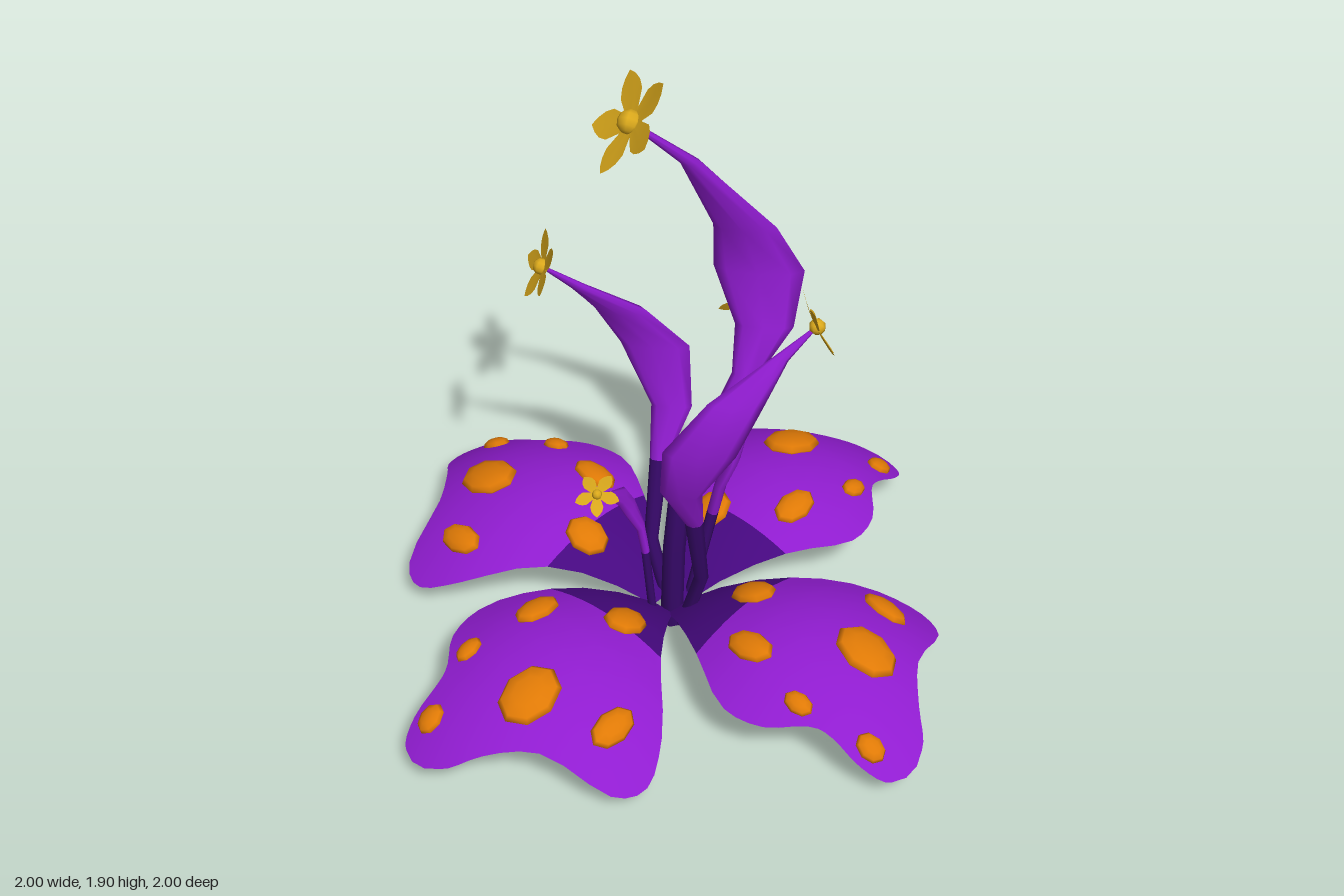
import * as THREE from 'three';

const mat = (name, color, side = THREE.FrontSide) => {
  const m = new THREE.MeshStandardMaterial({ color, side });
  m.name = name;
  return m;
};

const add = (parent, name, geo, material) => {
  const m = new THREE.Mesh(geo, material);
  m.name = name;
  parent.add(m);
  return m;
};

// Smooth surface through rows of points; closed joins the last column to the first
function loft(rows, closed) {
  const n = rows[0].length, idx = [];
  for (let i = 0; i < rows.length - 1; i++) {
    for (let j = 0; j < (closed ? n : n - 1); j++) {
      const a = i * n + j, b = i * n + (j + 1) % n;
      idx.push(a, b, a + n, b, b + n, a + n);
    }
  }
  const g = new THREE.BufferGeometry().setFromPoints(rows.flat());
  g.setIndex(idx);
  g.computeVertexNormals();
  return g;
}

// Domed petal surface: rises to z = 0.5, droops at the tip and the sides
const bend = z => (z < 0.5 ? 0.95 : 0.78);
const height = (x, z) => 0.275 - bend(z) * (z - 0.5) ** 2 - 0.86 * x * x;

// Petal cross rows from a smooth outline of z, left edge, right edge
function petalRows() {
  const outline = new THREE.CatmullRomCurve3([
    [0.03, -0.04, 0.04], [0.3, -0.22, 0.23], [0.5, -0.33, 0.41], [0.63, -0.31, 0.47], [0.73, -0.23, 0.42],
    [0.8, -0.205, 0.21], [0.9, -0.2, 0.08], [0.97, -0.17, 0.01], [1, -0.11, -0.06],
  ].map(p => new THREE.Vector3(...p)));
  return outline.getPoints(24).map(o => Array.from({ length: 11 }, (_, j) => {
    const x = THREE.MathUtils.lerp(o.z, o.y, j / 10);
    return new THREE.Vector3(x, height(x, o.x), o.x);
  }));
}

// Petal spots: x, z, half width, half length
const SPOTS = [
  [0.07, 0.28, 0.063, 0.075], [-0.14, 0.44, 0.051, 0.08], [0.08, 0.7, 0.083, 0.105],
  [0.31, 0.6, 0.049, 0.08], [-0.2, 0.67, 0.034, 0.048], [-0.14, 0.89, 0.04, 0.05],
];

// Elliptical rings along a path: a tapering stem that swells into a flat leaf around the peak point
function stalkRings({ path, across, radius, leaf, peak }) {
  const W = new THREE.Vector3(across[0], 0, across[1]).normalize();
  const pts = path.map(p => new THREE.Vector3(...p));
  const last = pts.length - 1;
  return pts.map((p, i) => {
    const tan = pts[Math.min(i + 1, last)].clone().sub(pts[Math.max(i - 1, 0)]).normalize();
    const T = tan.cross(W).normalize();
    const stem = radius * (1 - 0.8 * (i / last) ** 2);
    const swell = leaf * Math.exp(-(((i - peak) / 1.4) ** 2));
    return Array.from({ length: 8 }, (_, k) => {
      const a = k / 8 * Math.PI * 2;
      return p.clone().addScaledVector(W, Math.cos(a) * (stem + swell))
        .addScaledVector(T, Math.sin(a) * (stem + 0.15 * swell));
    });
  });
}

// Slightly cupped star of unit radius with five broad petals, facing +z
function blossomGeometry() {
  const rings = [0, 0.5, 1].map(s => Array.from({ length: 40 }, (_, i) => {
    const a = -i / 40 * Math.PI * 2;
    const t = Math.abs(i % 8 - 4) / 4;
    const r = s * (0.3 + 0.7 * (1 - t) ** 0.55);
    return new THREE.Vector3(r * Math.cos(a), r * Math.sin(a), 0.12 * r * r);
  }));
  return loft(rings, true);
}

export function createModel() {
  const model = new THREE.Group();
  model.name = 'flowerPlant';
  const purple = mat('purple', 0x901cd0, THREE.DoubleSide);
  const indigo = mat('indigo', 0x460880, THREE.DoubleSide);
  const deepIndigo = mat('deepIndigo', 0x360868, THREE.DoubleSide);
  const orange = mat('orange', 0xe07a06);
  const yellow = mat('yellow', 0xdcaa1c, THREE.DoubleSide);

  // Four spotted petals, dark towards the middle
  const rows = petalRows();
  const inner = loft(rows.slice(0, 4), false), outer = loft(rows.slice(3), false);
  const spotGeo = new THREE.SphereGeometry(1, 8, 6);
  const up = new THREE.Vector3(0, 1, 0);
  for (let k = 0; k < 4; k++) {
    const petal = new THREE.Group();
    petal.name = 'petal';
    petal.rotation.y = k * Math.PI / 2;
    add(petal, 'petalBase', inner, indigo);
    add(petal, 'petalBlade', outer, purple);
    for (const [x, z, w, l] of SPOTS) {
      const spot = add(petal, 'spot', spotGeo, orange);
      const normal = new THREE.Vector3(1.72 * x, 1, 2 * bend(z) * (z - 0.5)).normalize();
      spot.position.set(x, height(x, z), z);
      spot.quaternion.setFromUnitVectors(up, normal);
      spot.scale.set(w, 0.015 + 0.22 * w, l);
    }
    model.add(petal);
  }

  // Leafy stalk ending in a blossom; dark is the point where the stem turns purple
  const blossomGeo = blossomGeometry();
  const budGeo = new THREE.SphereGeometry(0.22, 8, 6);
  const addStalk = (name, spec) => {
    const stalk = new THREE.Group();
    stalk.name = name;
    const rings = stalkRings(spec);
    add(stalk, 'stem', loft(rings.slice(0, spec.dark + 1), true), deepIndigo);
    add(stalk, 'leaf', loft(rings.slice(spec.dark), true), purple);
    const flower = new THREE.Group();
    flower.name = 'blossom';
    flower.position.fromArray(spec.path.at(-1));
    flower.lookAt(flower.position.clone().add(new THREE.Vector3(...spec.facing)));
    flower.rotateZ(spec.spin);
    flower.scale.setScalar(spec.size);
    add(flower, 'blossomPetals', blossomGeo, yellow);
    add(flower, 'blossomCentre', budGeo, yellow).position.z = 0.04;
    stalk.add(flower);
    model.add(stalk);
    return stalk;
  };

  addStalk('tallStalk', {
    dark: 3, across: [0.82, -0.57], radius: 0.035, leaf: 0.11, peak: 6.1,
    size: 0.16, facing: [-0.4, 0.6, 0.7], spin: 0.63,
    path: [
      [0.01, 0, 0], [0.02, 0.3, 0], [0.025, 0.5, -0.02], [0.07, 0.7, -0.11], [0.115, 0.9, -0.21],
      [0.115, 1.03, -0.29], [0.07, 1.2, -0.315], [0.05, 1.36, -0.27], [-0.02, 1.62, -0.11], [-0.11, 1.77, 0.03],
    ],
  });

  // Matching pair on the two sides
  const sideStalk = {
    dark: 2, across: [0.82, -0.57], radius: 0.022, leaf: 0.09, peak: 4.2,
    size: 0.11, facing: [0.55, 0.4, -0.75], spin: 0.3,
    path: [
      [0.06, 0.02, 0], [0.13, 0.25, 0], [0.15, 0.52, 0.06], [0.16, 0.68, 0.13],
      [0.235, 0.87, 0.14], [0.29, 1.02, 0.05], [0.345, 1.14, -0.07], [0.4, 1.23, -0.16],
    ],
  };
  addStalk('leftStalk', sideStalk);
  const rightStalk = addStalk('rightStalk', sideStalk);
  rightStalk.rotation.y = Math.PI;
  rightStalk.position.set(0.025, 0, -0.035);

  addStalk('backStalk', {
    dark: 1, across: [-0.57, -0.82], radius: 0.018, leaf: 0.07, peak: 4,
    size: 0.085, facing: [-0.75, 0.4, -0.55], spin: 0.1,
    path: [
      [0.02, 0.02, -0.06], [0.055, 0.38, -0.14], [0.08, 0.5, -0.145], [0.1, 0.6, -0.18],
      [0.09, 0.7, -0.235], [0.05, 0.78, -0.29], [-0.03, 0.86, -0.38], [-0.1, 0.925, -0.46],
    ],
  });
  addStalk('frontStalk', {
    dark: 1, across: [0.57, 0.82], radius: 0.013, leaf: 0.042, peak: 3.5,
    size: 0.068, facing: [0.75, 0.4, 0.55], spin: 0.2,
    path: [
      [-0.01, 0.02, 0.06], [-0.03, 0.31, 0.075], [-0.05, 0.4, 0.075], [-0.07, 0.48, 0.1],
      [-0.065, 0.55, 0.14], [-0.03, 0.63, 0.23], [-0.005, 0.7, 0.31],
    ],
  });
  return model;
}
